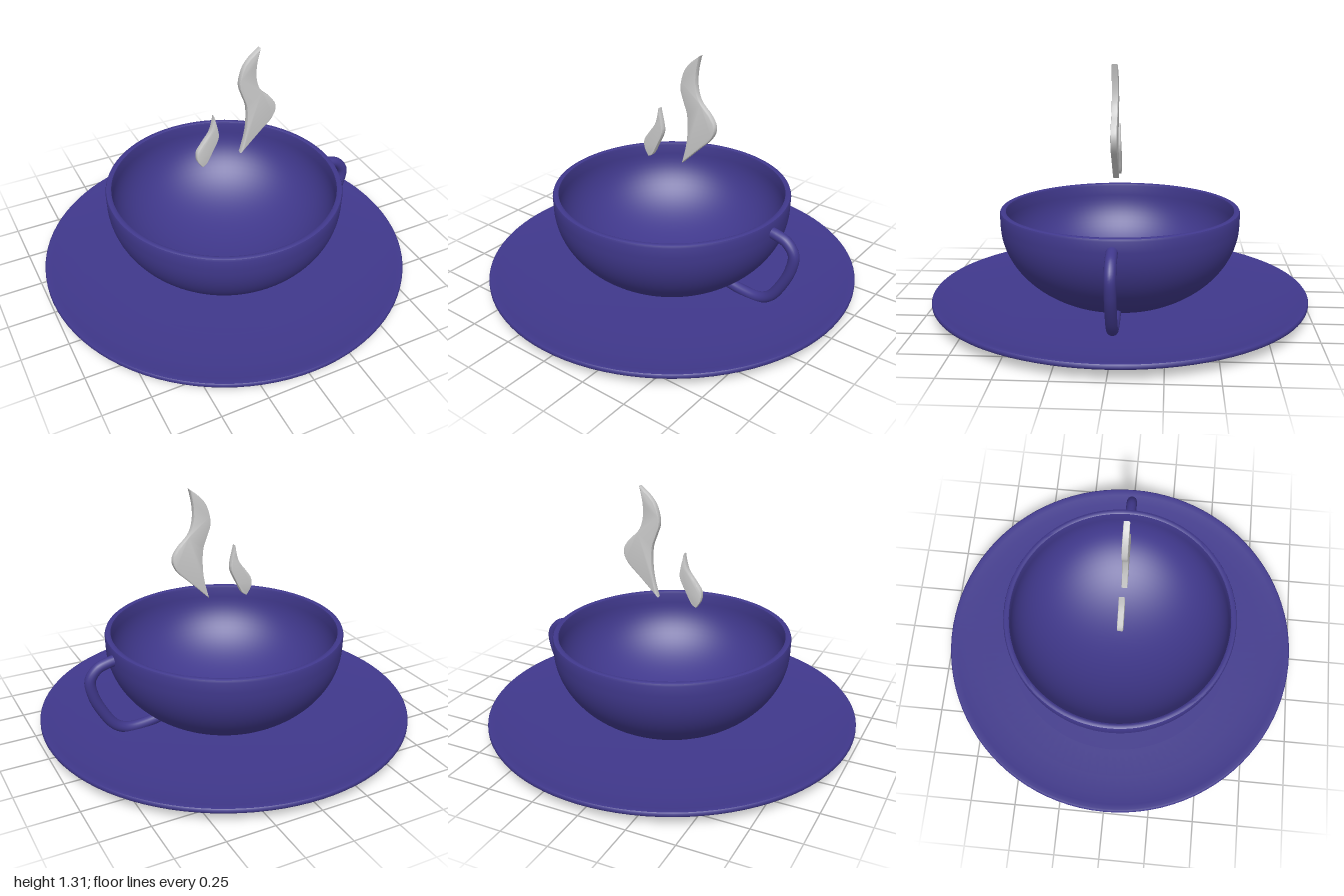
import * as THREE from 'three';
import { toCreasedNormals } from 'three/addons/utils/BufferGeometryUtils.js';

const china = new THREE.MeshStandardMaterial({ color: 0x40388c });
const grey = new THREE.MeshStandardMaterial({ color: 0xcccccc });
const vectors = (list) => list.map(([x, y]) => new THREE.Vector2(x, y));

function addMesh(parent, name, geometry, material) {
  const mesh = new THREE.Mesh(geometry, material);
  mesh.name = name;
  parent.add(mesh);
  return mesh;
}

// Revolved part with smooth walls and crisp corners
function turned(profile) {
  return toCreasedNormals(new THREE.LatheGeometry(vectors(profile), 96), 0.7);
}

// Points on a quarter ellipse, from the bottom (or the given start angle) up to the side
function bowlArc(radius, depth, centreY, start, steps) {
  return Array.from({ length: steps + 1 }, (_, i) => {
    const a = start + (Math.PI / 2 - start) * (i / steps);
    return [radius * Math.sin(a), centreY - depth * Math.cos(a)];
  });
}

// Flat wisp: two smooth sides meeting at pointed ends
function wisp(rightSide, leftSide) {
  const sample = (side) => new THREE.SplineCurve(vectors(side)).getPoints(28);
  const outline = [...sample(rightSide), ...sample(leftSide).slice(1, -1)];
  const geometry = new THREE.ExtrudeGeometry(new THREE.Shape(outline), {
    depth: 0.02, bevelEnabled: true, bevelThickness: 0.006,
    bevelSize: 0.005, bevelOffset: -0.005, bevelSegments: 2,
  });
  geometry.translate(0, 0, 0.005);
  return toCreasedNormals(geometry, 0.7);
}

export function createModel() {
  const group = new THREE.Group();

  // Shallow dished saucer
  addMesh(group, 'saucer', turned([
    [0, 0], [0.2, 0], [0.5, 0.003], [0.78, 0.007], [0.84, 0.012], [0.9, 0.025],
    [0.985, 0.054], [0.997, 0.06], [1, 0.066], [1, 0.077], [0.995, 0.083], [0.985, 0.084],
    [0.96, 0.079], [0.9, 0.071], [0.8, 0.064], [0.65, 0.06], [0, 0.058],
  ]), china);

  // Bowl with rounded lip and hollow inside
  const outside = bowlArc(0.632, 0.473, 0.47, 0.55, 20);
  const inside = bowlArc(0.6, 0.4, 0.47, 0, 24).reverse();
  addMesh(group, 'cup', turned([
    [0, outside[0][1]], ...outside,
    [0.634, 0.525], [0.63, 0.536], [0.622, 0.54], [0.61, 0.54], [0.603, 0.536], [0.6, 0.525],
    ...inside,
  ]), china);

  // Looped handle, both ends buried in the bowl wall
  const path = new THREE.CatmullRomCurve3([
    [0.615, 0.475], [0.66, 0.467], [0.715, 0.447], [0.757, 0.39], [0.746, 0.3],
    [0.702, 0.2], [0.645, 0.115], [0.6, 0.083], [0.55, 0.07], [0.46, 0.075], [0.36, 0.095],
  ].map(([x, y]) => new THREE.Vector3(x, y, 0)));
  addMesh(group, 'handle', new THREE.TubeGeometry(path, 72, 0.029, 16), china);

  // Two wisps of steam
  addMesh(group, 'largeSteam', wisp(
    [[0.085, 0.713], [0.19, 0.815], [0.262, 0.885], [0.286, 0.95], [0.255, 1.01],
      [0.195, 1.07], [0.17, 1.14], [0.17, 1.22], [0.188, 1.307]],
    [[0.188, 1.307], [0.125, 1.255], [0.09, 1.2], [0.074, 1.12], [0.095, 1.05],
      [0.117, 0.985], [0.12, 0.89], [0.11, 0.81], [0.085, 0.713]],
  ), grey);
  addMesh(group, 'smallSteam', wisp(
    [[-0.137, 0.692], [-0.11, 0.71], [-0.078, 0.77], [-0.045, 0.84], [-0.045, 0.89], [-0.067, 0.98]],
    [[-0.067, 0.98], [-0.088, 0.895], [-0.13, 0.835], [-0.163, 0.785], [-0.163, 0.735], [-0.137, 0.692]],
  ), grey);

  return group;
}
